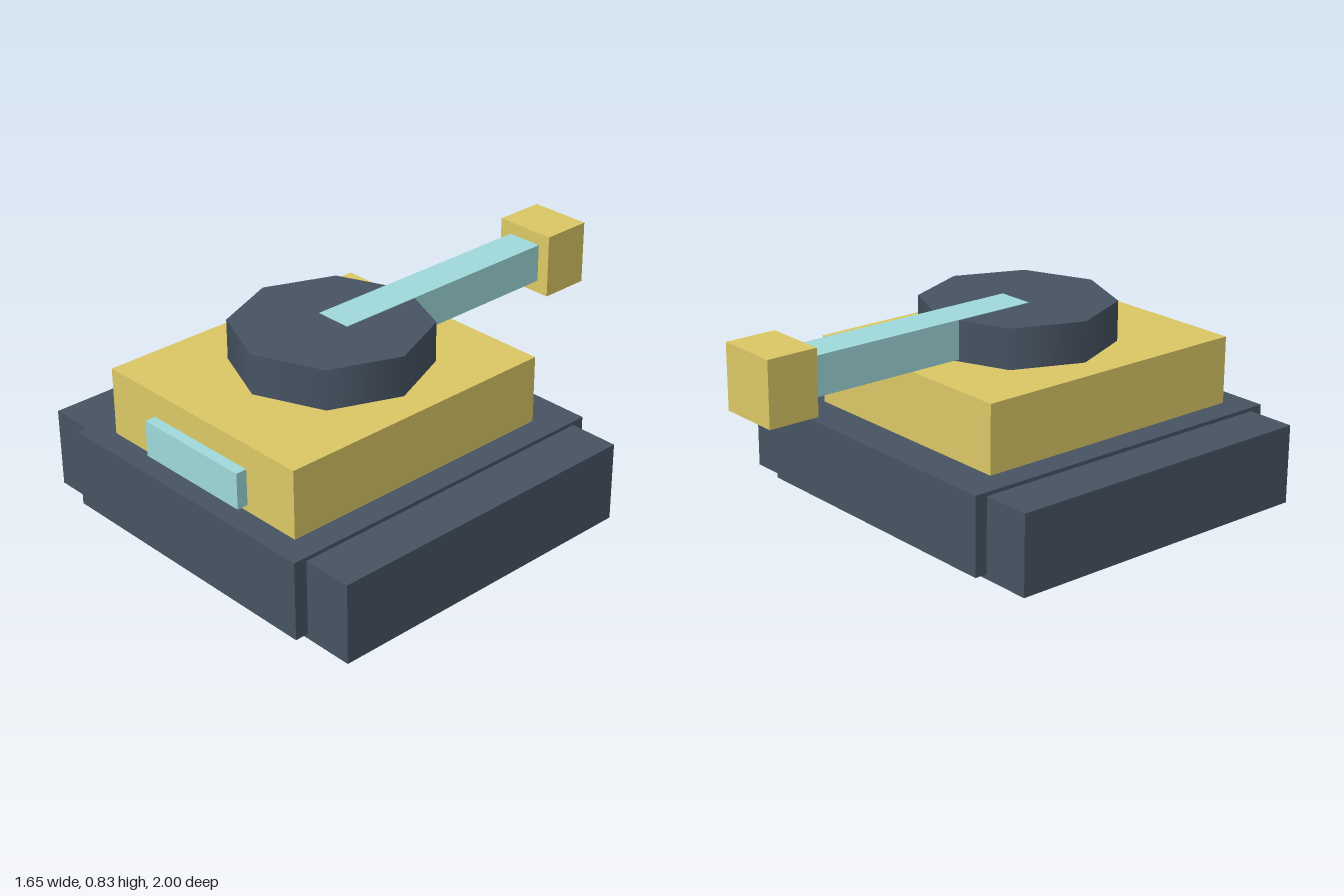
import * as THREE from 'three';

const slate = new THREE.MeshStandardMaterial({ color: 0x475463 });
const yellow = new THREE.MeshStandardMaterial({ color: 0xdcc866 });
const aqua = new THREE.MeshStandardMaterial({ color: 0xa0dadb });

// Box given by its extents along each axis
function box(name, material, [x0, x1], [y0, y1], [z0, z1]) {
  const mesh = new THREE.Mesh(new THREE.BoxGeometry(x1 - x0, y1 - y0, z1 - z0), material);
  mesh.position.set((x0 + x1) / 2, (y0 + y1) / 2, (z0 + z1) / 2);
  mesh.name = name;
  return mesh;
}

export function createModel() {
  const model = new THREE.Group();
  model.name = 'tank';

  // Lower hull with a track block on each side
  model.add(box('hull', slate, [-0.62, 0.62], [0.02, 0.338], [-0.47, 1]));
  model.add(box('leftTrack', slate, [0.55, 0.825], [0, 0.323], [-0.418, 0.945]));
  model.add(box('rightTrack', slate, [-0.825, -0.55], [0, 0.323], [-0.418, 0.945]));

  // Upper body and its front panel
  model.add(box('upperBody', yellow, [-0.51, 0.51], [0.338, 0.614], [-0.308, 0.9]));
  model.add(box('frontPanel', aqua, [-0.258, 0.258], [0.365, 0.512], [0.85, 0.945]));

  // Eight-sided turret, smooth around the sides
  const turret = new THREE.Mesh(new THREE.CylinderGeometry(0.39, 0.39, 0.163, 8), slate);
  turret.position.set(0, 0.6955, 0.26);
  turret.name = 'turret';
  model.add(turret);

  // Gun barrel, its top just proud of the turret, and the muzzle block
  model.add(box('barrel', aqua, [-0.077, 0.077], [0.622, 0.779], [-0.8, 0.25]));
  model.add(box('muzzle', yellow, [-0.13, 0.13], [0.57, 0.83], [-1, -0.79]));

  return model;
}
